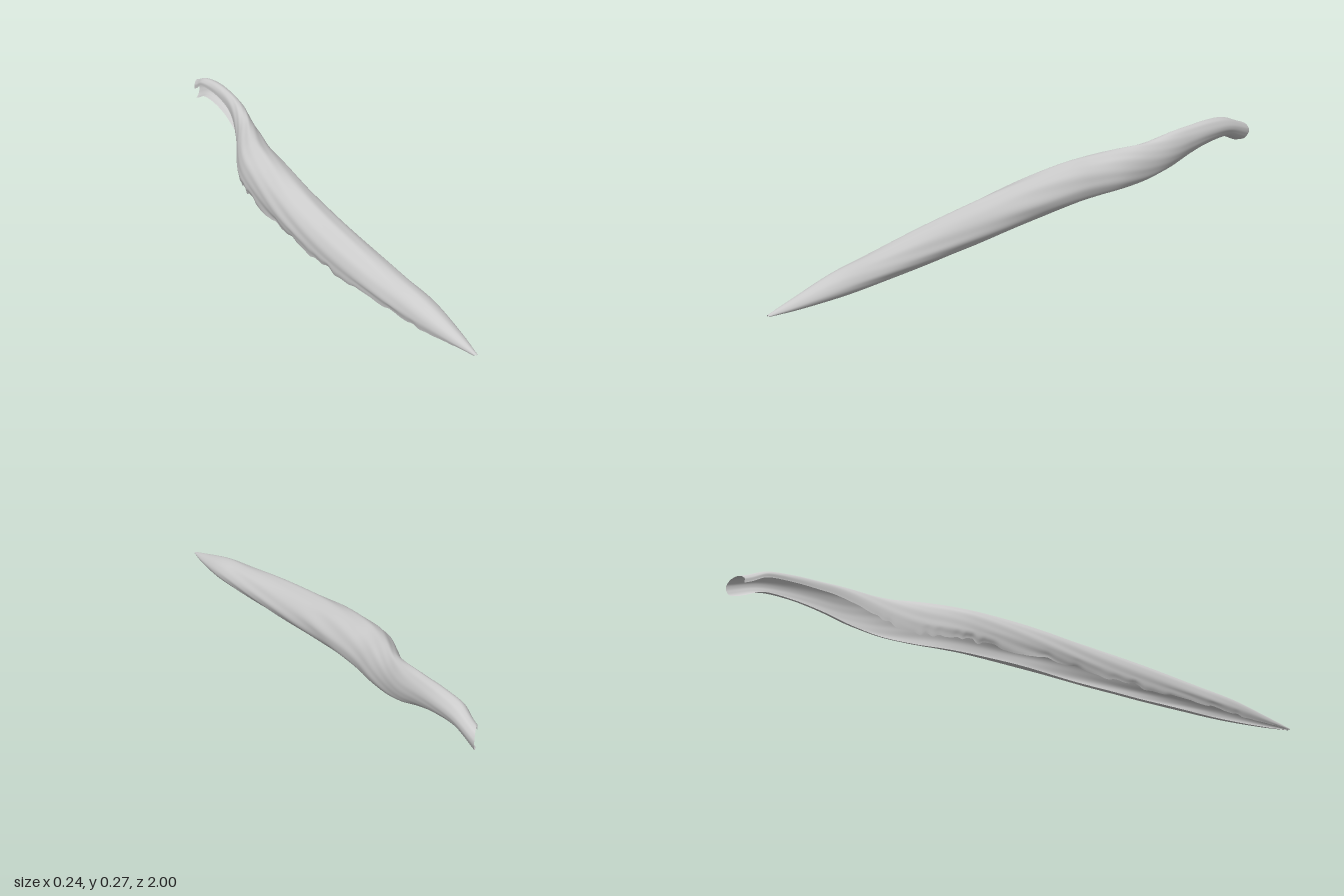
import * as THREE from 'three';

// Stations along the leaf: z, then the box of the cross-section (x0, x1, y0, y1)
const STATIONS = [
  [1.0, -0.03, -0.02, 0.012, 0.018],
  [0.9, -0.05, 0.0, 0.008, 0.045],
  [0.75, -0.077, 0.019, 0.006, 0.082],
  [0.6, -0.095, 0.022, 0.009, 0.102],
  [0.4, -0.112, 0.022, 0.015, 0.132],
  [0.2, -0.12, 0.026, 0.028, 0.16],
  [0.0, -0.12, 0.035, 0.05, 0.19],
  [-0.2, -0.104, 0.05, 0.068, 0.217],
  [-0.3, -0.085, 0.06, 0.075, 0.226],
  [-0.4, -0.042, 0.078, 0.084, 0.236],
  [-0.5, 0.008, 0.093, 0.1, 0.25],
  [-0.6, 0.045, 0.109, 0.133, 0.266],
  [-0.7, 0.061, 0.116, 0.17, 0.275],
  [-0.8, 0.065, 0.12, 0.193, 0.279],
  [-0.9, 0.063, 0.119, 0.197, 0.27],
  [-1.0, 0.07, 0.118, 0.168, 0.24],
];

// Open outlines inside the unit box, from the left free edge over the top to the right free edge
const BLADE = [[0.04, 0], [0, 0.4], [0.13, 0.78], [0.45, 1], [0.8, 0.86], [1, 0.5], [0.93, 0.17], [0.68, 0.08]];
const STALK = [[0.06, 0.62], [0.1, 0.86], [0.38, 1], [0.75, 0.91], [1, 0.62], [0.97, 0.32], [0.75, 0.08], [0.35, 0]];

const ROWS = 260;
const COLS = 72;

const spline = (points) => new THREE.CatmullRomCurve3(points, false, 'catmullrom', 0.5);
const outline = (points) => spline(points.map(([x, y]) => new THREE.Vector3(x, y, 0)));

// Small repeatable noise for the torn edge
function noise(i) {
  const s = Math.sin(i * 127.1) * 43758.5453;
  return s - Math.floor(s);
}
function smoothNoise(t) {
  const i = Math.floor(t);
  return THREE.MathUtils.lerp(noise(i), noise(i + 1), THREE.MathUtils.smoothstep(t - i, 0, 1));
}

function createCurledSheet() {
  const low = spline(STATIONS.map(([z, x0, , y0]) => new THREE.Vector3(x0, y0, z)));
  const high = spline(STATIONS.map(([z, , x1, , y1]) => new THREE.Vector3(x1, y1, z)));
  const blade = outline(BLADE).getPoints(COLS);
  const stalk = outline(STALK).getPoints(COLS);
  const positions = [];
  const index = [];
  const section = new THREE.Vector3();

  for (let r = 0; r <= ROWS; r++) {
    const a = low.getPoint(r / ROWS);
    const b = high.getPoint(r / ROWS);
    const z = a.z;
    const width = b.x - a.x;
    const height = b.y - a.y;
    const toStalk = THREE.MathUtils.smoothstep(-z, 0.36, 0.68);
    // Wrinkles fade out towards the tip and the stalk
    const depth = 0.022 * THREE.MathUtils.smoothstep(1 - z, 0.1, 0.6) * (1 - 0.5 * toStalk);
    const ragged = 0.14 * (1 - toStalk) * smoothNoise(r * 0.32);

    for (let c = 0; c <= COLS; c++) {
      const t = c / COLS;
      section.lerpVectors(blade[c], stalk[c], toStalk);
      // Slanting wrinkles wind around the curl
      const fold = 0.6 * Math.sin(t * 34 + z * 11 + Math.sin(z * 9))
        + 0.4 * Math.sin(t * 61 + z * 17 + 2 * Math.sin(z * 5 + t * 4));
      const shrink = 1 - depth * (1 + fold);
      let u = 0.5 + (section.x - 0.5) * shrink;
      let v = 0.5 + (section.y - 0.5) * shrink;
      // Torn lower edge on the left flap
      v += ragged * Math.max(0, 1 - t / 0.12);
      // Slanted break at the end of the stalk
      const slant = 0.05 * (1 - u) * THREE.MathUtils.smoothstep(-z, 0.85, 1);
      positions.push(a.x + u * width, a.y + v * height, z + slant);
    }
  }

  for (let r = 0; r < ROWS; r++) {
    for (let c = 0; c < COLS; c++) {
      const i = r * (COLS + 1) + c;
      const j = i + COLS + 1;
      index.push(i, i + 1, j, i + 1, j + 1, j);
    }
  }

  const geometry = new THREE.BufferGeometry();
  geometry.setAttribute('position', new THREE.Float32BufferAttribute(positions, 3));
  geometry.setIndex(index);
  geometry.computeVertexNormals();
  return geometry;
}

export function createModel() {
  const group = new THREE.Group();
  group.name = 'curledDryLeaf';
  const material = new THREE.MeshStandardMaterial({ color: 0xcccccc, side: THREE.DoubleSide });
  const leaf = new THREE.Mesh(createCurledSheet(), material);
  leaf.name = 'leafBladeAndStalk';
  group.add(leaf);
  return group;
}
